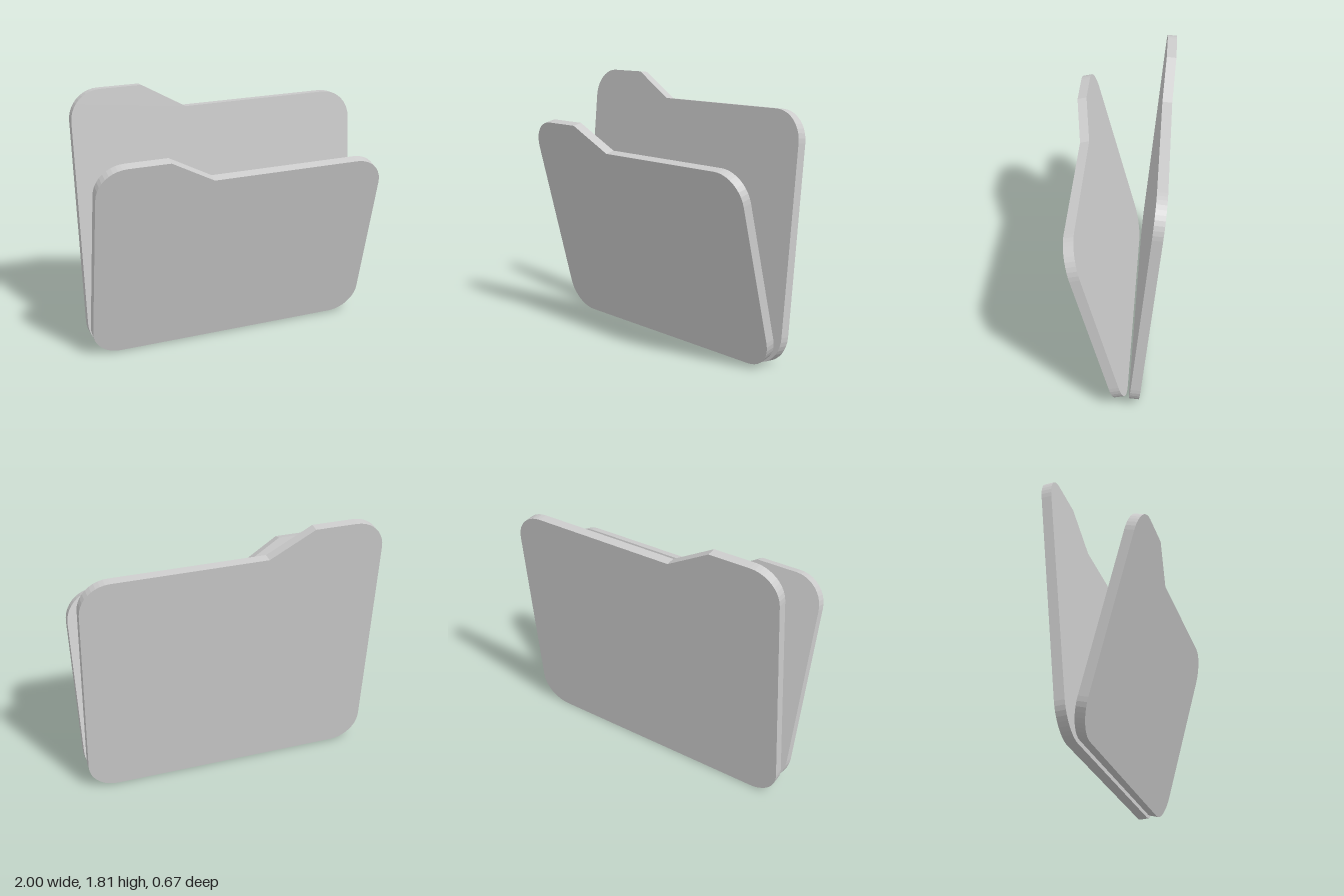
import * as THREE from 'three';

const THICKNESS = 0.065;
const RADIUS = 0.2;
const STEP = 0.172; // height of the raised tab

// Rounded panel with a raised tab on its upper left as seen from the front
function panelGeometry(height) {
  const r = RADIUS, low = height - STEP, q = Math.PI / 2;
  const s = new THREE.Shape();
  s.moveTo(-1 + r, 0);
  s.lineTo(1 - r, 0);
  s.absarc(1 - r, r, r, -q, 0, false);
  s.lineTo(1, low - r);
  s.absarc(1 - r, low - r, r, 0, q, false);
  s.lineTo(-0.22, low);
  s.lineTo(-0.52, height);
  s.lineTo(-1 + r, height);
  s.absarc(-1 + r, height - r, r, q, 2 * q, false);
  s.lineTo(-1, r);
  s.absarc(-1 + r, r, r, 2 * q, 3 * q, false);
  return new THREE.ExtrudeGeometry(s, { depth: THICKNESS, bevelEnabled: false, curveSegments: 5 });
}

export function createModel() {
  const group = new THREE.Group();
  group.name = 'folder';
  const material = new THREE.MeshStandardMaterial({ color: 0xcccccc });

  // Each cover hinges on its inner bottom edge
  const addCover = (name, height, y, z, tilt, shift) => {
    const geometry = panelGeometry(height).translate(0, 0, shift);
    const mesh = new THREE.Mesh(geometry, material);
    mesh.name = name;
    mesh.position.set(0, y, z);
    mesh.rotation.x = tilt;
    group.add(mesh);
  };
  addCover('frontCover', 1.496, 0.025, -0.095, 0.249, 0);
  addCover('backCover', 1.808, 0.006, -0.105, -0.093, -THICKNESS);

  return group;
}
